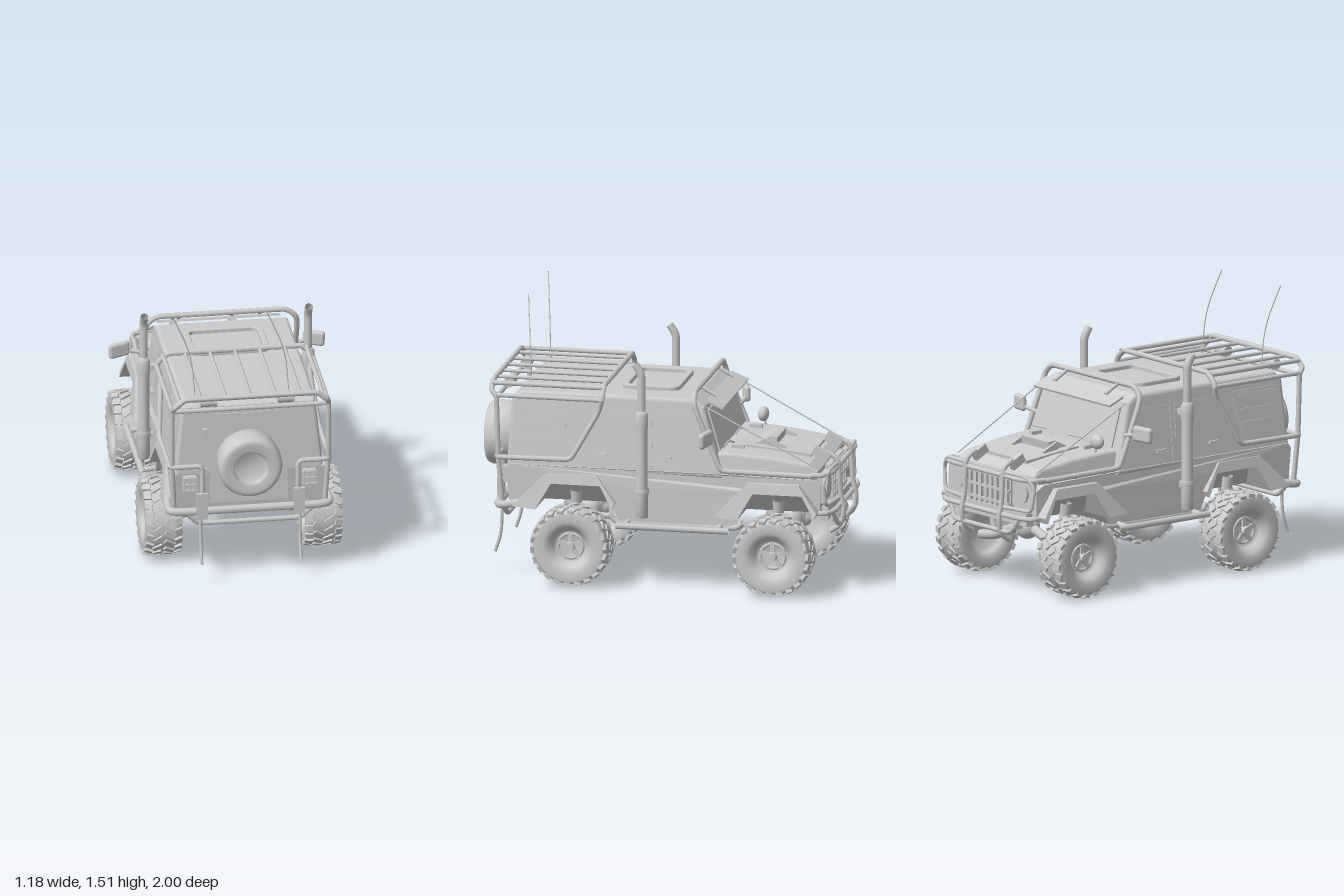
import * as THREE from 'three';
import { mergeGeometries } from 'three/addons/utils/BufferGeometryUtils.js';
import { RoundedBoxGeometry } from 'three/addons/geometries/RoundedBoxGeometry.js';

const mat = new THREE.MeshStandardMaterial({ color: 0xcccccc, side: THREE.DoubleSide });
const V = (p) => new THREE.Vector3(...p);
const SIDES = [-1, 1];

export function createModel() {
  const root = new THREE.Group();
  const car = new THREE.Group();
  car.name = 'vehicle';
  car.position.x = 0.013;
  root.add(car);

  const add = (name, geo, pos = [0, 0, 0], rot = [0, 0, 0], parent = car) => {
    const m = new THREE.Mesh(geo, mat);
    m.name = name;
    m.position.set(...pos);
    m.rotation.set(...rot);
    parent.add(m);
    return m;
  };
  const box = (name, size, pos, rot) => add(name, new THREE.BoxGeometry(...size), pos, rot);
  // Side profile given as [z, y], spanning the width; half(y, z) sets the half width
  const slab = (name, pts, half, bevel = 0) => {
    const shape = new THREE.Shape(pts.map((p) => new THREE.Vector2(...p)));
    const geo = new THREE.ExtrudeGeometry(shape, {
      depth: 2 - 2 * bevel * 2.5, bevelEnabled: bevel > 0, bevelSize: bevel, bevelOffset: -bevel,
      bevelThickness: bevel * 2.5, bevelSegments: 3,
    });
    geo.translate(0, 0, -1 + bevel * 2.5).rotateY(-Math.PI / 2);
    const p = geo.attributes.position;
    for (let i = 0; i < p.count; i++) p.setX(i, p.getX(i) * half(p.getY(i), p.getZ(i)));
    geo.computeVertexNormals();
    return add(name, geo);
  };
  // Bent pipe with rounded corners
  const tube = (name, points, r = 0.013, bend = 0.03) => {
    const pts = points.map(V), path = new THREE.CurvePath();
    let last = pts[0];
    for (let i = 1; i < pts.length - 1; i++) {
      const c = pts[i];
      const cut = (o) => c.clone().lerp(o, Math.min(0.47, bend / c.distanceTo(o)));
      const a = cut(pts[i - 1]), b = cut(pts[i + 1]);
      path.add(new THREE.LineCurve3(last, a));
      path.add(new THREE.QuadraticBezierCurve3(a, c, b));
      last = b;
    }
    path.add(new THREE.LineCurve3(last, pts[pts.length - 1]));
    const n = pts.length === 2 ? 1 : pts.length * 12;
    return add(name, new THREE.TubeGeometry(path, n, r, 8));
  };
  const both = (name, points, r, bend) =>
    SIDES.forEach((s) => tube(name, points.map(([x, y, z]) => [x * s, y, z]), r, bend));

  // Body shell with wheel wells
  const cabinHalf = (y) => 0.405 - 0.105 * (y - 0.62);
  const lowerHalf = (y, z) => (z < -0.35 ? 0.415 + (z + 0.35) * 0.06 : 0.415);
  const well = (c) => [[c - 0.22, 0.43], [c - 0.15, 0.55], [c + 0.12, 0.55], [c + 0.2, 0.41]];
  slab('lowerBody', [[0.8, 0.41], [0.82, 0.62], [0.8, 0.645], [-0.34, 0.645], [-0.85, 0.63], [-0.9, 0.6],
    [-0.9, 0.43], ...well(-0.66), [-0.42, 0.36], [0.2, 0.36], ...well(0.45)], lowerHalf);
  slab('cabin', [[0.82, 0.62], [0.8, 1.0], [0.75, 1.04], [-0.2, 1.04], [-0.26, 1.0], [-0.37, 0.62]], cabinHalf, 0.02);
  slab('hood', [[-0.3, 0.62], [-0.3, 0.75], [-0.4, 0.752], [-0.62, 0.735], [-0.83, 0.705], [-0.88, 0.67], [-0.89, 0.6]],
    (y, z) => 0.375 + (z + 0.35) * 0.08 - Math.max(0, y - 0.68) * 0.25, 0.014);
  for (const c of [0.45, -0.66]) {
    slab('wheelArch', [[c + 0.33, 0.42], [c + 0.15, 0.605], [c - 0.13, 0.605], [c - 0.235, 0.46], ...well(c)],
      (y) => 0.458 - (y - 0.42) * 0.19);
  }
  // Inner wings lean inward towards the floor
  slab('innerWings', [[0.79, 0.42], [0.79, 0.56], [-0.88, 0.56], [-0.88, 0.42]], (y) => 0.375 - (0.56 - y) * 0.9);

  // Side windows, doors and trim
  const out = (d) => (y) => cabinHalf(y) + d;
  slab('frontDoorWindow', [[0.0, 0.77], [0.0, 0.96], [-0.22, 0.96], [-0.27, 0.77]], out(0.003));
  slab('middleWindow', [[0.42, 0.77], [0.36, 0.96], [0.05, 0.96], [0.05, 0.77]], out(0.003));
  slab('rearSidePanel', [[0.77, 0.74], [0.76, 0.97], [0.44, 0.97], [0.5, 0.74]], out(0.003));
  for (const y of [0.79, 0.86, 0.94]) slab('sideRib', [[0.75, y], [0.75, y + 0.01], [0.5, y + 0.01], [0.5, y]], out(0.007));
  for (const z of [-0.03, 0.33]) slab('doorHandle', [[z, 0.71], [z, 0.725], [z - 0.06, 0.725], [z - 0.06, 0.71]], out(0.012));
  slab('doorSeam', [[0.02, 0.645], [0.02, 0.98], [0.027, 0.98], [0.027, 0.645]], out(0.003));

  // Windshield, visor and wipers
  box('windshield', [0.64, 0.23, 0.012], [0, 0.865, -0.302], [0.28, 0, 0]);
  box('visor', [0.66, 0.012, 0.1], [0, 1.008, -0.31], [-0.4, 0, 0]);
  for (const x of [-0.17, 0.13]) tube('wiper', [[x, 0.755, -0.375], [x + 0.06, 0.78, -0.36], [x + 0.2, 0.775, -0.36]], 0.005);

  // Hood bulge and scoop
  box('hoodBulge', [0.36, 0.02, 0.36], [0, 0.732, -0.63], [-0.1, 0, 0]);
  slab('hoodScoop', [[-0.46, 0.74], [-0.57, 0.795], [-0.61, 0.79], [-0.6, 0.73]], (y, z) => 0.13 + (z + 0.5) * 0.1);
  for (const s of SIDES) {
    slab('scoopFin', [[-0.56, 0.74], [-0.57, 0.79], [-0.66, 0.75], [-0.66, 0.73]], () => 0.008).position.x = s * 0.135;
    box('hoodHinge', [0.02, 0.02, 0.07], [s * 0.23, 0.76, -0.42]);
  }

  // Grille, headlights and front bumper
  box('grille', [0.36, 0.2, 0.03], [0, 0.57, -0.9]);
  for (let i = 0; i < 8; i++) box('grilleSlat', [0.014, 0.19, 0.02], [-0.157 + i * 0.045, 0.57, -0.92]);
  for (const y of [0.5, 0.57, 0.64]) box('grilleBar', [0.36, 0.012, 0.02], [0, y, -0.922]);
  for (const s of SIDES) {
    box('headlightPanel', [0.17, 0.15, 0.03], [s * 0.275, 0.575, -0.9]);
    add('headlight', new THREE.CylinderGeometry(0.055, 0.06, 0.03, 24), [s * 0.275, 0.58, -0.915], [Math.PI / 2, 0, 0]);
    box('towHook', [0.03, 0.07, 0.05], [s * 0.24, 0.41, -0.92]);
    box('hoodFrontTab', [0.03, 0.05, 0.09], [s * 0.16, 0.725, -0.86], [-0.5, 0, 0]);
  }
  box('frontBumper', [0.68, 0.07, 0.05], [0, 0.44, -0.91]);
  both('bullBarUpright', [[0.16, 0.74, -0.89], [0.16, 0.7, -0.955], [0.16, 0.52, -0.965], [0.16, 0.42, -0.987],
    [0.16, 0.34, -0.97], [0.16, 0.3, -0.91]], 0.014);
  for (const [y, z] of [[0.66, -0.95], [0.45, -0.965]]) {
    tube('bullBarRail', [[-0.39, y, -0.85], [-0.38, y, z + 0.03], [-0.3, y, z], [0.3, y, z], [0.38, y, z + 0.03], [0.39, y, -0.85]], 0.014);
  }
  both('headlightGuard', [[0.17, 0.68, -0.95], [0.34, 0.68, -0.94], [0.39, 0.62, -0.92], [0.37, 0.49, -0.93], [0.17, 0.49, -0.96]], 0.011);
  tube('lowerGuard', [[-0.3, 0.45, -0.95], [-0.24, 0.36, -0.97], [0.24, 0.36, -0.97], [0.3, 0.45, -0.95]], 0.013);

  // Front roll hoop with fender rails, and cables to the hood
  tube('frontHoop', [[-0.375, 0.65, -0.89], [-0.415, 0.665, -0.36], [-0.415, 0.98, -0.23], [-0.41, 1.04, -0.21], [-0.355, 1.085, -0.21],
    [0.355, 1.085, -0.21], [0.41, 1.04, -0.21], [0.415, 0.98, -0.23], [0.415, 0.665, -0.36], [0.375, 0.65, -0.89]], 0.015);
  both('hoopBrace', [[0.22, 1.08, -0.21], [0.22, 1.03, -0.3]], 0.01);
  both('limbCable', [[0.36, 1.0, -0.27], [0.34, 0.69, -0.87]], 0.004);
  for (const z of [-0.45, -0.63, -0.8]) both('railMount', [[0.405 + (z + 0.4) * 0.06, 0.655, z], [0.36, 0.62, z]], 0.01);

  // Roof hatch
  const rounded = (w, h, r, S = THREE.Shape) => {
    const s = new S();
    s.moveTo(-w + r, -h).lineTo(w - r, -h).quadraticCurveTo(w, -h, w, -h + r).lineTo(w, h - r)
      .quadraticCurveTo(w, h, w - r, h).lineTo(-w + r, h).quadraticCurveTo(-w, h, -w, h - r)
      .lineTo(-w, -h + r).quadraticCurveTo(-w, -h, -w + r, -h);
    return s;
  };
  const hatch = rounded(0.212, 0.153, 0.06);
  hatch.holes.push(rounded(0.192, 0.132, 0.045, THREE.Path));
  add('roofHatch', new THREE.ExtrudeGeometry(hatch, { depth: 0.022, bevelSize: 0.007, bevelThickness: 0.007, bevelSegments: 2 }),
    [-0.015, 1.035, 0.073], [-Math.PI / 2, 0, 0]);

  // Roof rack and rear cage
  for (const [z, dz] of [[0.29, 0], [0.9, -0.03]]) {
    tube('rackHoop', [[-0.425, 1.02, z + dz], [-0.415, 1.05, z], [-0.36, 1.095, z], [0.36, 1.095, z], [0.415, 1.05, z],
      [0.425, 1.02, z + dz]], 0.015, 0.015);
  }
  both('rackSideRail', [[0.39, 1.085, 0.29], [0.39, 1.085, 0.9]], 0.013);
  both('rackLowerRail', [[0.425, 1.025, 0.3], [0.425, 1.025, 0.87]], 0.012);
  tube('rackRearRail', [[-0.425, 1.015, 0.87], [0.425, 1.015, 0.87]], 0.013);
  for (let i = -2; i <= 2; i++) tube('rackSlat', [[i * 0.135, 1.09, 0.29], [i * 0.135, 1.09, 0.89]], 0.01);
  both('sideCage', [[0.425, 1.03, 0.29], [0.405, 0.96, 0.31], [0.435, 0.69, 0.46], [0.435, 0.685, 0.87], [0.26, 0.685, 0.87], [0.26, 0.42, 0.87]], 0.014);
  both('rearPost', [[0.425, 1.03, 0.87], [0.425, 0.69, 0.86], [0.41, 0.42, 0.84]], 0.014);

  // Rear bumper, plates, lamps, straps and antennas
  tube('rearBumper', [[-0.43, 0.44, 0.72], [-0.44, 0.42, 0.85], [-0.38, 0.42, 0.87], [0.38, 0.42, 0.87], [0.44, 0.42, 0.85], [0.43, 0.44, 0.72]], 0.022);
  tube('rearLowerBar', [[-0.36, 0.42, 0.85], [-0.28, 0.335, 0.84], [0.28, 0.335, 0.84], [0.36, 0.42, 0.85]], 0.014);
  for (const s of SIDES) {
    box('bumperPlate', [0.06, 0.15, 0.02], [s * 0.265, 0.455, 0.885]);
    box('tailLamp', [0.07, 0.085, 0.03], [s * 0.325, 0.57, 0.83]);
    for (const y of [0.535, 0.57, 0.605]) box('tailLampGuard', [0.08, 0.008, 0.015], [s * 0.325, y, 0.85]);
    for (const x of [0.295, 0.325, 0.355]) box('tailLampGuard', [0.008, 0.085, 0.015], [s * x, 0.57, 0.85]);
    add('rackLamp', new THREE.CylinderGeometry(0.028, 0.028, 0.09, 20), [s * 0.21 - 0.013, 1.05, 0.84], [0, 0, Math.PI / 2]);
    tube('mudStrap', [[s * 0.27, 0.38, 0.87], [s * 0.27, 0.22, 0.875], [s * 0.27, 0.12, 0.91]], 0.009, 0.1);
    tube('antenna', [[s * 0.255 - 0.025, 1.04, 0.72], [s * 0.255 - 0.045, 1.28, 0.73], [s * 0.255 - 0.145, 1.515, 0.76]], 0.003, 0.3);
  }
  box('rearDoor', [0.42, 0.53, 0.012], [0, 0.71, 0.812], [-0.05, 0, 0]);
  box('rearWindow', [0.36, 0.19, 0.016], [0, 0.865, 0.808], [-0.05, 0, 0]);
  for (const y of [0.63, 0.86]) box('doorHinge', [0.02, 0.04, 0.025], [-0.24, y, 0.82]);

  const lathe = (pts, seg = 48) => new THREE.LatheGeometry(pts.map((p) => new THREE.Vector2(...p)), seg);

  // Spare wheel
  add('spareWheel', lathe([[0, -0.08], [0.15, -0.08], [0.17, -0.06], [0.175, 0], [0.173, 0.055], [0.165, 0.075], [0.155, 0.084],
    [0.14, 0.085], [0.1, 0.083], [0.09, 0.075], [0.088, 0.035], [0, 0.035]]), [-0.013, 0.71, 0.915], [Math.PI / 2, 0, 0]);

  // Wheels: tyre, chevron lugs, dished rim and spokes, axis along x
  const tyre = lathe([[0, -0.03], [0.1, -0.04], [0.112, -0.08], [0.14, -0.097], [0.185, -0.098], [0.198, -0.09], [0.207, -0.06], [0.207, 0.06],
    [0.198, 0.09], [0.185, 0.098], [0.14, 0.097], [0.115, 0.085], [0.092, 0.058], [0.078, 0.035], [0, 0.032]]).rotateZ(-Math.PI / 2);
  const lugs = [];
  const pitches = 22;
  for (let i = 0; i < pitches; i++) {
    for (const s of SIDES) {
      const a = ((i + (s > 0 ? 0.5 : 0)) / pitches) * Math.PI * 2;
      lugs.push(new THREE.BoxGeometry(0.062, 0.016, 0.028).rotateY(s * 0.6).translate(s * 0.03, 0.209, 0).rotateX(a));
      lugs.push(new THREE.BoxGeometry(0.04, 0.026, 0.036).rotateY(-s * 0.2).rotateZ(-s * 0.25)
        .translate(s * 0.077, 0.2, 0.016).rotateX(a));
    }
  }
  const tread = mergeGeometries(lugs);
  const spokes = mergeGeometries(Array.from({ length: 5 }, (_, i) =>
    new THREE.BoxGeometry(0.02, 0.06, 0.024).translate(0.035, 0.045, 0).rotateX((i / 5) * Math.PI * 2)));
  for (const z of [0.451, -0.66]) for (const s of SIDES) {
    const wheel = new THREE.Group();
    wheel.name = z > 0 ? 'rearWheel' : 'frontWheel';
    wheel.position.set(s * 0.435, 0.222, z);
    wheel.rotation.y = s < 0 ? Math.PI : 0;
    car.add(wheel);
    add('tyre', tyre, [0, 0, 0], [0, 0, 0], wheel);
    add('tread', tread, [0, 0, 0], [0, 0, 0], wheel);
    add('spokes', spokes, [0, 0, 0], [0, 0, 0], wheel);
    add('hubCap', new THREE.CylinderGeometry(0.022, 0.03, 0.05, 16), [0.04, 0, 0], [0, 0, -Math.PI / 2], wheel);
    add('hubRing', new THREE.TorusGeometry(0.068, 0.008, 8, 32), [0.036, 0, 0], [0, Math.PI / 2, 0], wheel);
    // Suspension for this corner
    tube('axle', [[s * 0.4, 0.205, z], [s * 0.27, 0.225, z], [s * 0.08, 0.305, z], [0, 0.31, z]], 0.027, 0.05);
    tube('shockAbsorber', [[s * 0.28, 0.22, z], [s * 0.32, 0.4, z]], 0.018);
    tube('shockSleeve', [[s * 0.31, 0.34, z], [s * 0.335, 0.5, z]], 0.03);
  }

  // Differentials and underbody
  for (const z of [0.451, -0.66]) add('differential', new THREE.SphereGeometry(0.068, 24, 16), [0, 0.315, z]);
  slab('gearboxGuard', [[0.12, 0.37], [0.05, 0.335], [-0.08, 0.31], [-0.12, 0.32], [-0.16, 0.37]], () => 0.14);
  tube('exhaustPipe', [[0.12, 0.36, -0.4], [0.14, 0.34, 0.1], [0.3, 0.35, 0.2], [0.3, 0.36, 0.35]], 0.016);

  // Rock sliders
  both('sillTube', [[0.4, 0.39, 0.25], [0.4, 0.35, 0.22], [0.4, 0.35, -0.45], [0.4, 0.38, -0.48]], 0.016);
  both('rockSlider', [[0.485, 0.35, 0.2], [0.485, 0.35, -0.42]], 0.018);
  for (const z of [0.15, -0.36]) both('sliderMount', [[0.485, 0.35, z], [0.3, 0.37, z]], 0.015);

  // Snorkels and door mirrors
  for (const s of SIDES) {
    const x = s * 0.447 - 0.016;
    add('snorkelCanister', lathe([[0, 0], [0.034, 0], [0.034, 0.13], [0.039, 0.13], [0.039, 0.16], [0.031, 0.16], [0.031, 0.49], [0.036, 0.5],
      [0.036, 0.57], [0.022, 0.59], [0, 0.59]], 20), [x, 0.39, 0.07]);
    tube('snorkelPipe', [[x, 0.96, 0.07], [x, 1.185, 0.07], [x, 1.235, 0.105]], 0.022);
    for (const y of [0.52, 0.92]) box('snorkelBracket', [0.07, 0.03, 0.03], [x - s * 0.035, y, 0.07]);
    add('doorMirror', new RoundedBoxGeometry(0.12, 0.085, 0.035, 3, 0.017), [s * 0.53 - 0.013, 0.862, -0.3], [0, -s * 0.3, -s * 0.06]);
    tube('mirrorArm', [[s * 0.38, 0.83, -0.29], [s * 0.48, 0.85, -0.31]], 0.012);
  }
  add('fenderMirror', new THREE.SphereGeometry(0.04, 20, 14), [-0.325, 0.805, -0.44]).scale.set(1.2, 1, 0.75);
  tube('fenderMirrorStem', [[-0.325, 0.8, -0.44], [-0.32, 0.72, -0.46]], 0.008);

  return root;
}
